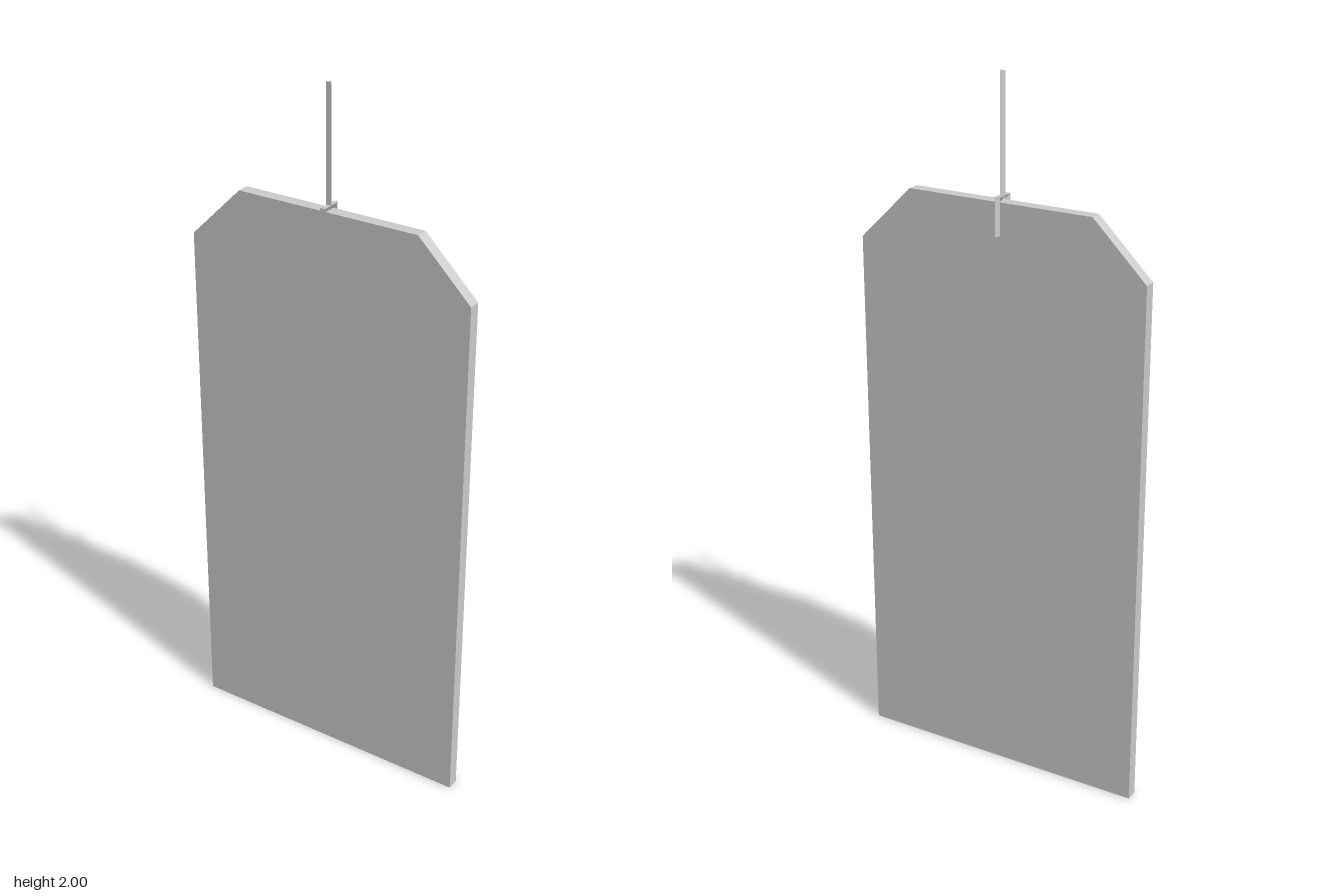
import * as THREE from 'three';

export function createModel() {
  const model = new THREE.Group();
  const material = new THREE.MeshStandardMaterial({ color: 0xcccccc, flatShading: true });

  // Flat board with two clipped top corners
  const outline = new THREE.Shape([
    [-0.425, 0], [0.425, 0], [0.425, 1.515], [0.27, 1.668], [-0.27, 1.668], [-0.425, 1.515],
  ].map(([x, y]) => new THREE.Vector2(x, y)));
  const boardGeometry = new THREE.ExtrudeGeometry(outline, { depth: 0.035, bevelEnabled: false });
  boardGeometry.translate(0, 0, -0.0175);
  const board = new THREE.Mesh(boardGeometry, material);
  board.name = 'board';
  model.add(board);

  // Three-sided wire, upright, with one edge pointing to the back
  const wire = (name, bottom, top, z) => {
    const geometry = new THREE.CylinderGeometry(0.0088, 0.0088, top - bottom, 3);
    geometry.rotateY(Math.PI);
    const mesh = new THREE.Mesh(geometry, material);
    mesh.name = name;
    mesh.position.set(0, (bottom + top) / 2, z);
    model.add(mesh);
    return mesh;
  };

  // Clip legs over the board's top edge
  wire('clipFrontLeg', 1.58, 1.682, 0.027);
  wire('clipBackLeg', 1.58, 1.682, -0.027);

  // Clip bar joining the legs, flat side up
  const bar = wire('clipBar', 0, 0.054, 0);
  bar.position.set(0, 1.678, 0);
  bar.rotation.x = -Math.PI / 2;

  // Hanging wire
  wire('hangingWire', 1.672, 2, 0);

  return model;
}
